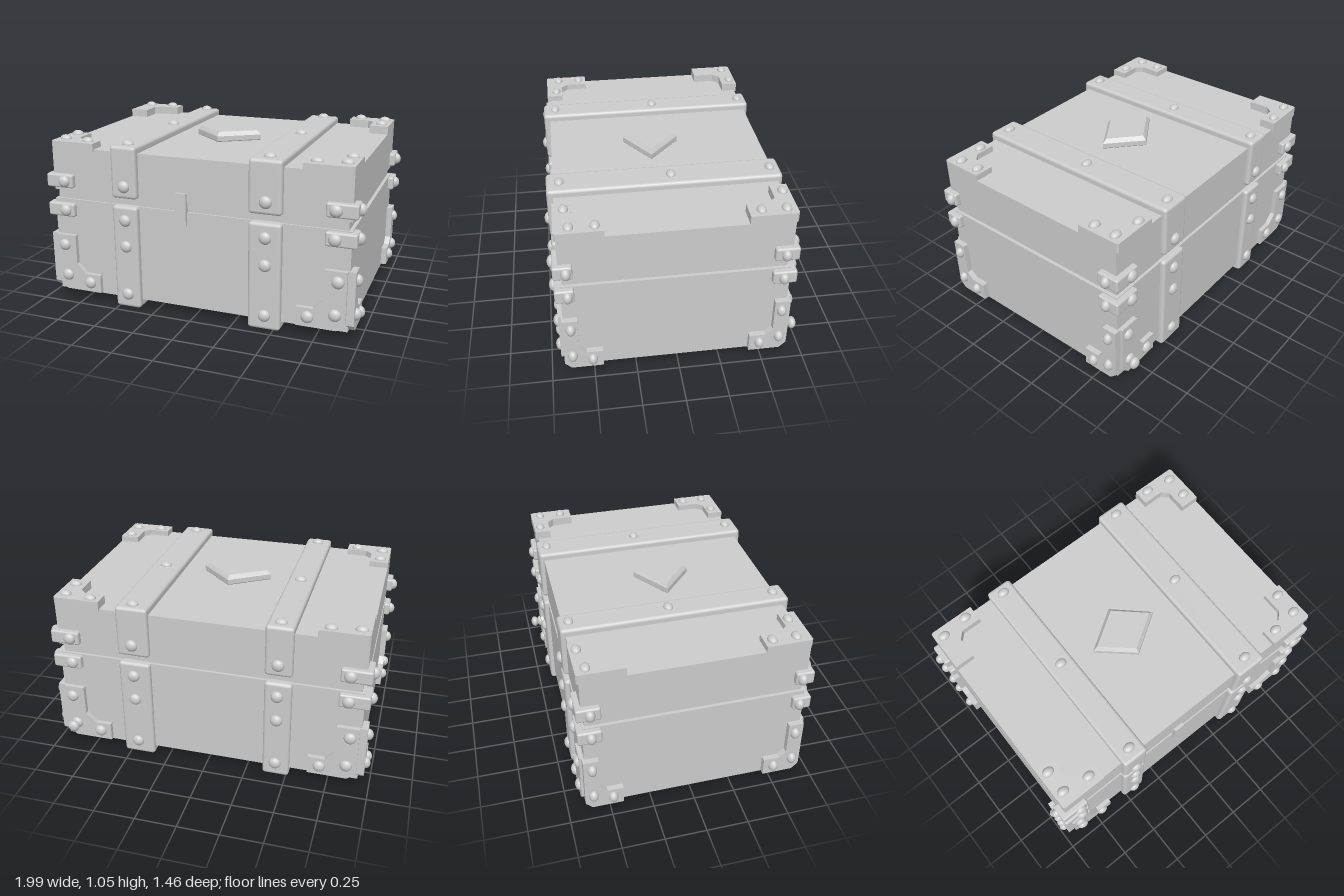
import * as THREE from 'three';
import { RoundedBoxGeometry } from 'three/addons/geometries/RoundedBoxGeometry.js';

export function createModel() {
  const chest = new THREE.Group();
  chest.name = 'chest';
  const grey = new THREE.MeshStandardMaterial({ color: 0xcccccc });
  grey.name = 'plain grey';

  const add = (name, geometry) => {
    const mesh = new THREE.Mesh(geometry, grey);
    mesh.name = name;
    chest.add(mesh);
    return mesh;
  };

  // Box given by its limits on each axis, with optional rounded edges
  const block = (name, [x0, x1], [y0, y1], [z0, z1], r = 0) => {
    const size = [x1 - x0, y1 - y0, z1 - z0];
    const geo = r ? new RoundedBoxGeometry(...size, 2, r) : new THREE.BoxGeometry(...size);
    add(name, geo).position.set((x0 + x1) / 2, (y0 + y1) / 2, (z0 + z1) / 2);
  };

  // Flat plate facing along an axis: x uses (z, y), y uses (x, z), z uses (x, y)
  const plate = (name, axis, points, from, to) => {
    const depth = Math.abs(to - from);
    const shape = new THREE.Shape(points.map(p => new THREE.Vector2(...p)));
    const geo = new THREE.ExtrudeGeometry(shape, { depth, bevelEnabled: false });
    geo.translate(0, 0, -depth / 2);
    if (axis === 'x') geo.rotateY(-Math.PI / 2);
    if (axis === 'y') geo.rotateX(Math.PI / 2);
    add(name, geo).position[axis] = (from + to) / 2;
  };

  // L-shaped outline with its outer corner at (u, v), arms running along du and dv
  const bracket = (u, v, du, dv, lenU, lenV, wideU, wideV, cut, nick) => [
    [nick, 0], [lenU, 0], [lenU, wideV], [wideU + cut, wideV], [wideU, wideV + cut],
    [wideU, lenV], [0, lenV], [0, nick],
  ].map(([a, b]) => [u + du * a, v + dv * b]);

  // Domed rivets, flattened along the axis they face
  const dome = new THREE.SphereGeometry(1, 16, 12);
  const domeSize = { x: [0.032, 0.037, 0.028], y: [0.037, 0.025, 0.028], z: [0.037, 0.037, 0.026] };
  const rivet = (axis, x, y, z) => {
    const mesh = add('rivet', dome);
    mesh.position.set(x, y, z);
    mesh.scale.set(...domeSize[axis]);
  };

  // Body, lid and the recessed seam between them
  block('body', [-0.93, 0.93], [0.05, 0.65], [-0.637, 0.662]);
  block('seam', [-0.91, 0.91], [0.64, 0.72], [-0.62, 0.65]);
  block('lid', [-0.93, 0.93], [0.705, 0.975], [-0.637, 0.662]);

  // Straps round body and lid
  for (const [x0, x1, xr] of [[-0.517, -0.353, -0.432], [0.343, 0.54, 0.447]]) {
    block('lowerStrap', [x0, x1], [0, 0.653], [-0.665, 0.7], 0.02);
    block('upperStrap', [x0, x1], [0.7, 1.018], [-0.665, 0.7], 0.02);
    for (const z of [-0.665, 0.7])
      for (const y of [0.09, 0.4, 0.565, 0.775]) rivet('z', xr, y, z);
    for (const z of [-0.605, -0.02, 0.625]) rivet('y', xr, 1.018, z);
  }

  // Fittings repeated at the four corners
  for (const sx of [-1, 1]) {
    for (const sz of [-1, 1]) {
      const wall = sz > 0 ? 0.66 : -0.635;
      const face = wall + sz * 0.03;
      const side = sx * 0.965;
      const edge = sz > 0 ? 0.672 : -0.65;

      // Wrap-around clips above and below the seam
      const xs = [sx * 0.785, side].sort((a, b) => a - b);
      const zs = [sz > 0 ? 0.585 : -0.53, face + sz * 0.005].sort((a, b) => a - b);
      const low = sx < 0 && sz > 0 ? 0.585 : 0.602;
      for (const y of [low, 0.768]) {
        block('cornerClip', xs, [y - 0.042, y + 0.042], zs, 0.012);
        rivet('z', sx * 0.842, y, face + sz * 0.005);
        rivet('x', side, y, sz > 0 ? 0.622 : -0.592);
      }

      // Bottom brackets on the front or back and on the side
      plate('frontBracket', 'z',
        bracket(sx * 0.92, 0.06, -sx, 1, 0.29, 0.36, 0.13, 0.115, 0.06, 0.05), wall - sz * 0.01, face);
      plate('sideBracket', 'x',
        bracket(edge, 0.055, -sz, 1, 0.227, 0.365, 0.09, 0.115, 0.04, 0.04), sx * 0.92, side);
      for (const [x, y] of [[0.868, 0.355], [0.858, 0.155], [0.7, 0.12]]) rivet('z', sx * x, y, face);
      for (const [dz, y] of [[0.05, 0.357], [0.05, 0.152], [0.165, 0.115]])
        rivet('x', side, y, edge - sz * dz);

      // Brackets on the lid
      plate('lidBracket', 'y',
        bracket(sx * 0.93, edge, -sx, -sz, 0.285, 0.27, 0.12, 0.1, 0.04, 0.01), 0.965, sz > 0 ? 1.012 : 1.025);
      const top = sz > 0 ? 1.012 : 1.025;
      rivet('y', sx * 0.71, top, sz * 0.61);
      rivet('y', sx * 0.875, top, sz * 0.59);
      if (sx > 0 || sz > 0) rivet('y', sx * 0.875, top, sz * 0.45);
    }
  }

  // Loose rivet behind the back corner
  rivet('z', 0.865, 0.152, -0.707);

  // Latch tab
  block('latch', [-0.11, -0.043], [0.57, 0.765], [0.64, 0.682]);

  // Bevelled diamond on the lid
  const diamond = new THREE.Shape(
    [[0.005, -0.097], [0.178, 0.058], [-0.025, 0.188], [-0.203, 0.036]].map(p => new THREE.Vector2(...p)));
  const ornament = new THREE.ExtrudeGeometry(diamond, {
    depth: 0.03, bevelThickness: 0.025, bevelSize: 0.02, bevelSegments: 1,
  });
  ornament.rotateX(Math.PI / 2);
  add('diamondOrnament', ornament).position.y = 1.01;

  return chest;
}
